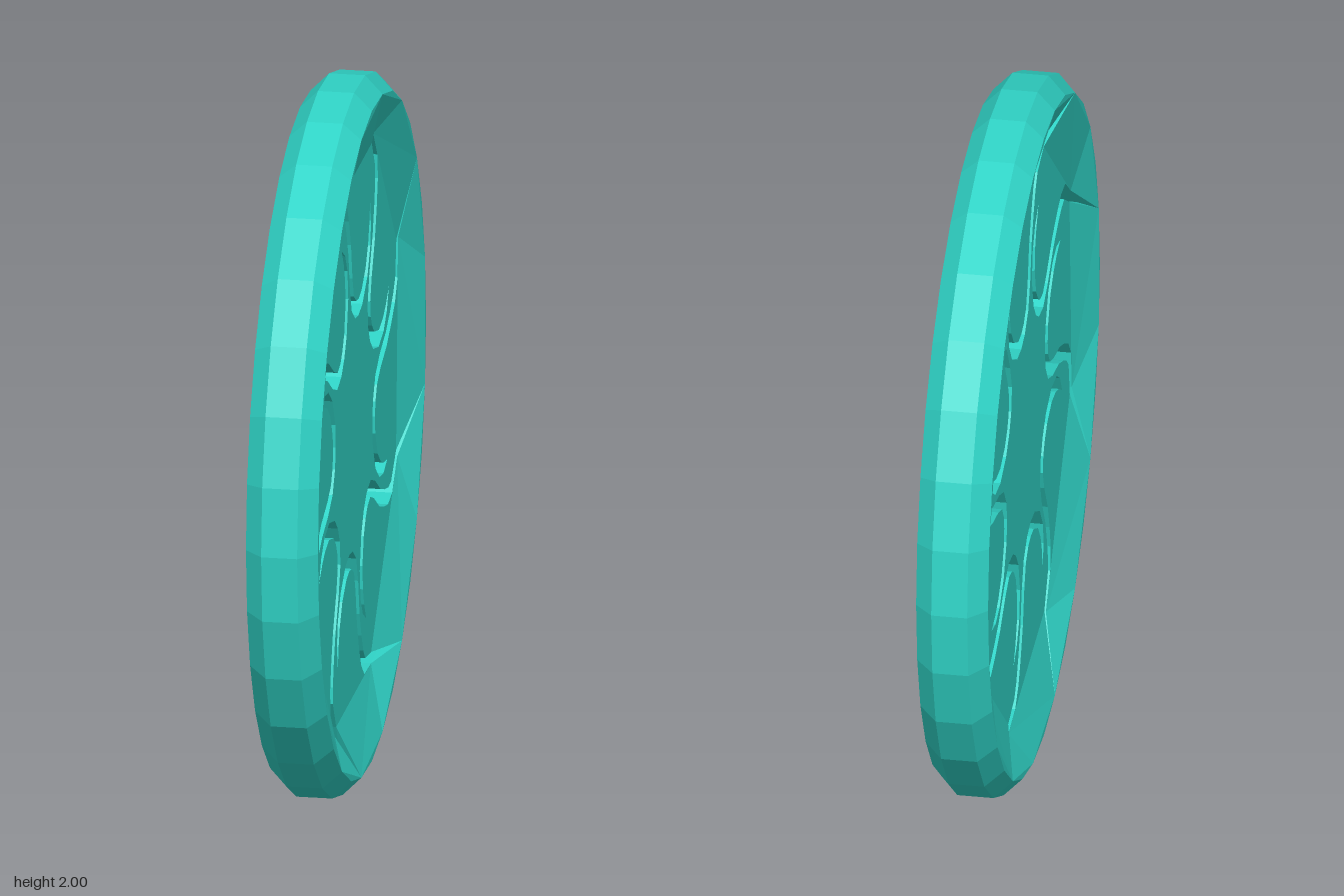
import * as THREE from 'three';

const SIDES = 32;
const SLOTS = 8;
const STEP = (Math.PI * 2) / SLOTS;
const FLOOR = 0.05; // half thickness of the recessed plate
const EDGE = 0.1;   // half thickness where the plate meets the rim
const INNER_RIM = 0.95;
const CENTRE = new THREE.Vector2();

// One S-shaped slot: centreline x, y and half-width, from outer tip to inner tip
const SLOT = [
  [-0.43, 0.778, 0], [-0.30, 0.76, 0.016], [-0.19, 0.745, 0.022], [-0.145, 0.705, 0.024],
  [-0.11, 0.645, 0.024], [-0.075, 0.567, 0.024], [-0.05, 0.46, 0.024], [-0.02, 0.39, 0.024],
  [0.03, 0.355, 0.024], [0.08, 0.345, 0.024], [0.14, 0.352, 0.024], [0.22, 0.396, 0.024],
  [0.268, 0.46, 0.022], [0.285, 0.52, 0.015], [0.283, 0.585, 0],
];

// Points along one side of the slot (side 1: outer-curve side, -1: hub side)
function slotSide(side) {
  return SLOT.map(([x, y, w], i) => {
    const a = SLOT[Math.max(i - 1, 0)], b = SLOT[Math.min(i + 1, SLOT.length - 1)];
    const n = new THREE.Vector2(a[1] - b[1], b[0] - a[0]).normalize().multiplyScalar(w * side);
    return n.add(new THREE.Vector2(x, y));
  });
}

function rimPoint(i) {
  const a = (i / SIDES) * Math.PI * 2;
  return new THREE.Vector2(Math.cos(a), Math.sin(a)).multiplyScalar(INNER_RIM);
}

// Recessed plate: one sector between two slots, repeated around the centre on both sides
function plateGeometry() {
  const positions = [];
  const left = slotSide(1), right = slotSide(-1);
  const next = right.map((p) => p.clone().rotateAround(CENTRE, -STEP));
  const last = SLOT.length - 1, hub = 9;

  // Sloping band from the rim down to the slots, and the level floor inside it
  const band = [rimPoint(11), left[0], left[1], left[2], next[1], next[0],
    rimPoint(7), rimPoint(8), rimPoint(9), rimPoint(10)];
  const floor = [...left.slice(2), ...right.slice(hub, last).reverse(), CENTRE,
    ...next.slice(1, hub + 1).reverse()];
  const height = (p) => (p.length() > INNER_RIM - 0.005 ? EDGE : FLOOR);

  for (let k = 0; k < SLOTS; k++) {
    const turn = (p) => p.clone().rotateAround(CENTRE, k * STEP);
    const add = (p, z) => { const q = turn(p); positions.push(q.x, q.y, z); };

    for (const outline of [band, floor]) {
      for (const face of THREE.ShapeUtils.triangulateShape([...outline], [])) {
        const corners = face.map((i) => outline[i]);
        corners.forEach((p) => add(p, height(p)));
        corners.reverse().forEach((p) => add(p, -height(p)));
      }
    }

    // Slot walls
    const loop = [...left, ...right.slice(1, last).reverse()];
    loop.forEach((p, i) => {
      const q = loop[(i + 1) % loop.length];
      add(p, -FLOOR); add(q, -FLOOR); add(q, FLOOR);
      add(p, -FLOOR); add(q, FLOOR); add(p, FLOOR);
    });
  }

  const geometry = new THREE.BufferGeometry();
  geometry.setAttribute('position', new THREE.Float32BufferAttribute(positions, 3));
  geometry.computeVertexNormals();
  return geometry.rotateY(Math.PI / 2);
}

export function createModel() {
  const model = new THREE.Group();
  model.name = 'slottedWheel';
  const teal = new THREE.MeshStandardMaterial({ color: 0x30d5c8 });
  teal.name = 'turquoise';

  const plate = new THREE.Mesh(plateGeometry(), teal);
  plate.name = 'slottedPlate';

  // Faceted rim with a chamfer on both sides
  const profile = [[INNER_RIM, -EDGE], [1, -0.05], [1, 0.05], [INNER_RIM, EDGE]];
  const rimGeometry = new THREE.LatheGeometry(
    profile.map(([r, y]) => new THREE.Vector2(r, y)), SIDES).toNonIndexed();
  rimGeometry.computeVertexNormals();
  rimGeometry.rotateZ(-Math.PI / 2);
  const rim = new THREE.Mesh(rimGeometry, teal);
  rim.name = 'chamferedRim';

  plate.position.y = rim.position.y = 1;
  model.add(plate, rim);
  return model;
}
